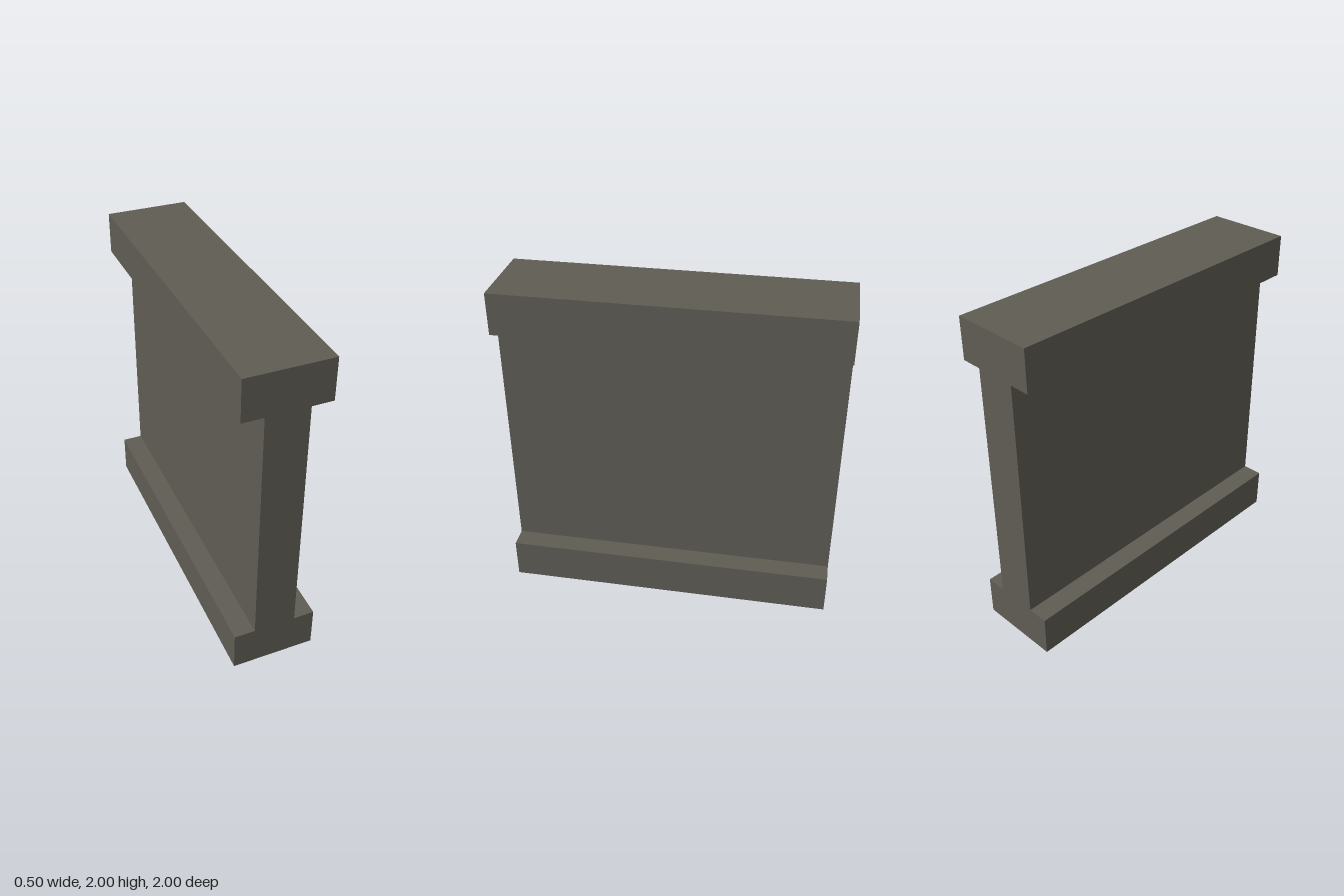
import * as THREE from 'three';

const HEIGHT = 2;
const LENGTH = 2;
const FLANGE_HALF = 0.25; // half width of the top and bottom flanges
const FLANGE_THICK = 0.25;
const WEB_HALF = 0.125; // half thickness of the upright web

export function createModel() {
  const group = new THREE.Group();
  group.name = 'wallSegment';

  const stone = new THREE.MeshStandardMaterial({ color: 0x5f5c54 });
  stone.name = 'dark stone';

  // Right half of the I-shaped cross-section, bottom to top
  const half = [
    [FLANGE_HALF, 0],
    [FLANGE_HALF, FLANGE_THICK],
    [WEB_HALF, FLANGE_THICK],
    [WEB_HALF, HEIGHT - FLANGE_THICK],
    [FLANGE_HALF, HEIGHT - FLANGE_THICK],
    [FLANGE_HALF, HEIGHT],
  ];
  // Mirror it to close the outline
  const mirrored = half.map(([x, y]) => [-x, y]).reverse();
  const profile = new THREE.Shape(
    [...half, ...mirrored].map(([x, y]) => new THREE.Vector2(x, y))
  );

  // Flanges and web as one solid, run along z
  const geometry = new THREE.ExtrudeGeometry(profile, { depth: LENGTH, bevelEnabled: false });
  geometry.translate(0, 0, -LENGTH / 2);

  const beam = new THREE.Mesh(geometry, stone);
  beam.name = 'flangedWall';
  group.add(beam);

  return group;
}
